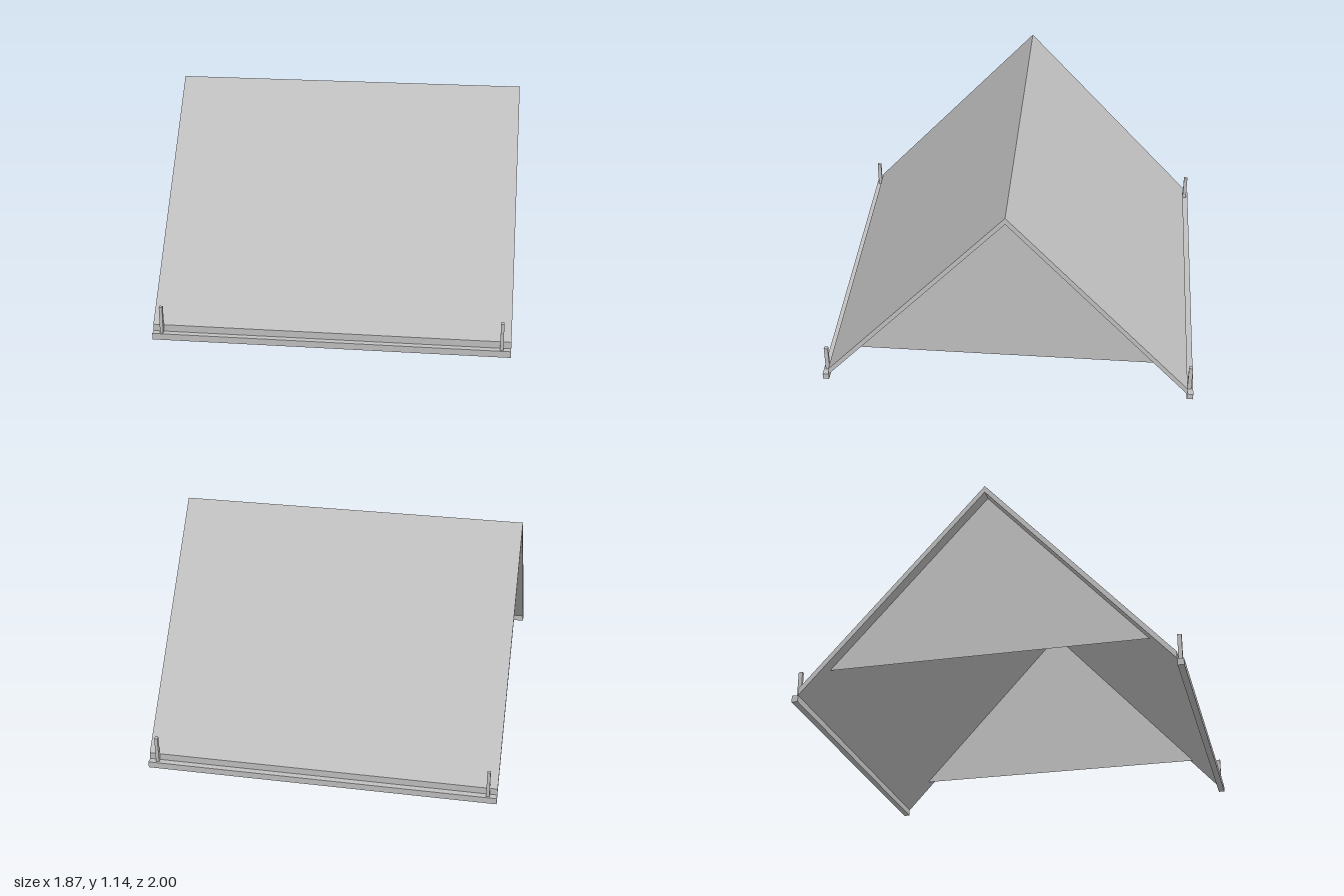
import * as THREE from 'three';

export function createModel() {
  const group = new THREE.Group();
  const grey = new THREE.MeshStandardMaterial({ color: 0xc0c0c0 });
  grey.name = 'light grey';
  grey.side = THREE.DoubleSide;

  const halfX = 0.933, eaveZ = 0.967;
  const add = (name, geometry, x, y, z) => {
    const mesh = new THREE.Mesh(geometry, grey);
    mesh.name = name;
    mesh.position.set(x, y, z);
    group.add(mesh);
    return mesh;
  };
  const shapeOf = (points) => new THREE.Shape(points.map(([a, b]) => new THREE.Vector2(a, b)));

  // Roof: an inverted V section, extruded along x
  const section = shapeOf([
    [-eaveZ, 0.035], [0, 1.103], [eaveZ, 0.035],
    [eaveZ, 0.072], [0, 1.14], [-eaveZ, 0.072],
  ]);
  const roof = new THREE.ExtrudeGeometry(section, { depth: 2 * halfX, bevelEnabled: false });
  roof.translate(0, 0, -halfX).rotateY(Math.PI / 2);
  add('roof', roof, 0, 0, 0);

  // Gable panels, set in from both ends of the roof
  const triangle = shapeOf([[-0.829, 0.187], [0.829, 0.187], [0, 1.103]]);
  for (const side of [-1, 1]) {
    const gable = new THREE.ShapeGeometry(triangle).rotateY(side * Math.PI / 2);
    add(side > 0 ? 'leftGable' : 'rightGable', gable, side * 0.867, 0, 0);
  }

  // Eave rails with an upright post near each end
  for (const side of [-1, 1]) {
    const end = side > 0 ? 'front' : 'back';
    add(end + 'Rail', new THREE.BoxGeometry(2 * halfX, 0.035, 0.033), 0, 0.0175, side * 0.9835);
    for (const sx of [-1, 1]) {
      add(end + (sx > 0 ? 'LeftPost' : 'RightPost'),
        new THREE.BoxGeometry(0.017, 0.147, 0.021), sx * 0.885, 0.1085, side * 0.979);
    }
  }
  return group;
}
